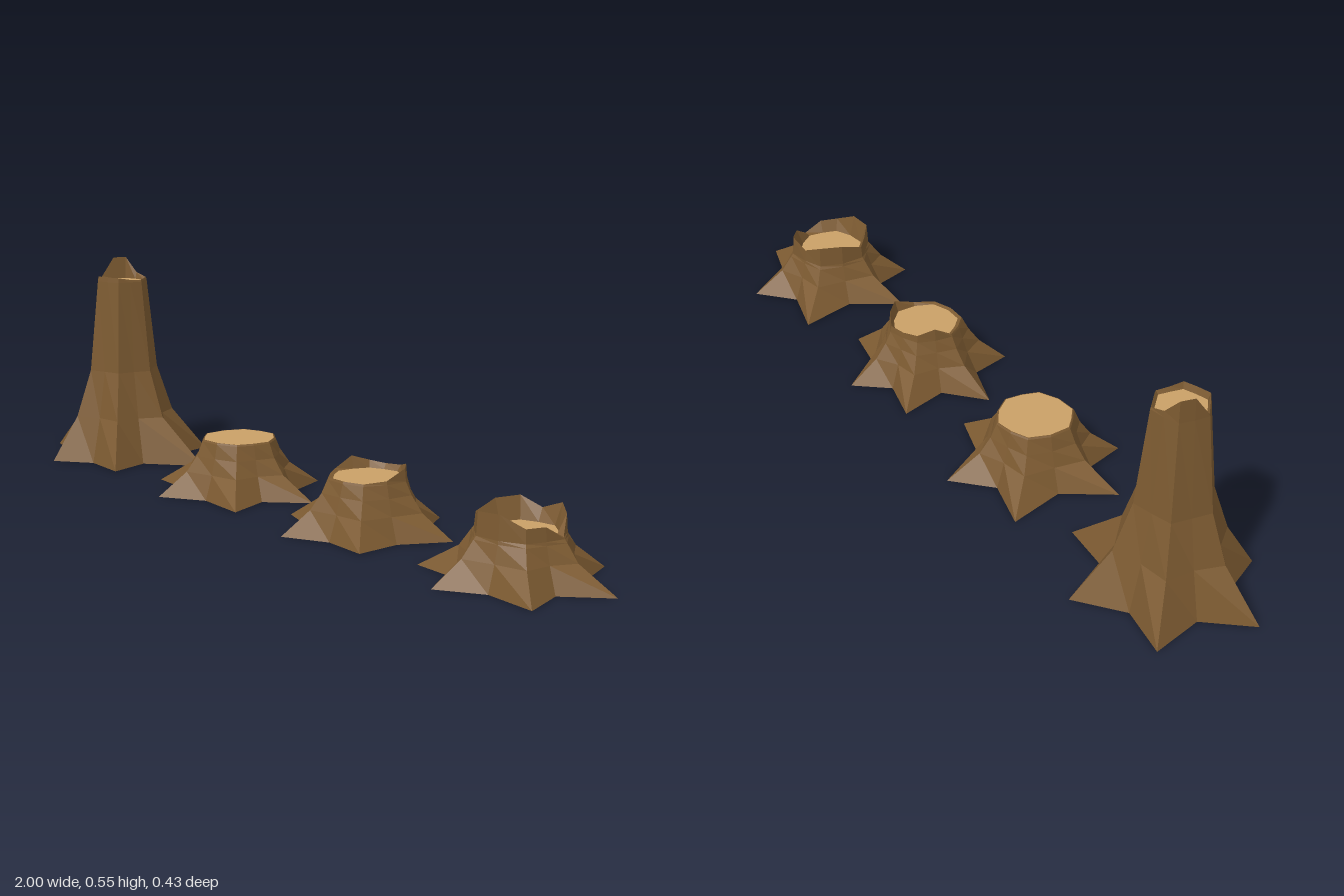
import * as THREE from 'three';

const bark = new THREE.MeshStandardMaterial({ color: 0x7c5a31 });
bark.name = 'bark';
const wood = new THREE.MeshStandardMaterial({ color: 0xc9a067 });
wood.name = 'cutWood';

// Flat-shaded mesh from a list of triangle corners
function facets(name, points, material) {
  const geometry = new THREE.BufferGeometry().setFromPoints(points);
  geometry.computeVertexNormals();
  const mesh = new THREE.Mesh(geometry, material);
  mesh.name = name;
  return mesh;
}

// Fan closing a ring, facing up or down
function fan(ring, centre, up) {
  return ring.flatMap((p, i) => {
    const q = ring[(i + 1) % ring.length];
    return up ? [centre, q, p] : [centre, p, q];
  });
}

// Walls between successive rings
function walls(rings) {
  const out = [];
  for (let k = 0; k + 1 < rings.length; k++) {
    const a = rings[k], b = rings[k + 1];
    a.forEach((p, i) => {
      const j = (i + 1) % a.length;
      out.push(p, b[i], b[j], p, b[j], a[j]);
    });
  }
  return out;
}

// A stump has six root tips; every ring alternates ridge and valley corners
function makeStump({ name, x, tips, levels, rim, inner, cut }) {
  const angles = tips.map(([tx, tz]) => Math.atan2(tz, tx));
  const dirs = [];
  angles.forEach((a, i) => {
    let next = angles[(i + 1) % 6];
    while (next < a) next += Math.PI * 2;
    dirs.push(a, (a + next) / 2);
  });
  const ring = (ridge, valley, height) => dirs.map((a, i) => {
    const r = i % 2 ? valley : ridge;
    const y = typeof height === 'number' ? height : height[i];
    return new THREE.Vector3(Math.cos(a) * r, y, Math.sin(a) * r + 0.005);
  });

  const base = ring(0, 0.14, 0);
  tips.forEach(([tx, tz], i) => base[2 * i].set(tx, 0, tz));
  const rings = [base, ...levels.map(([y, ridge, valley]) => ring(ridge, valley, y))];
  const [, ridge, valley] = levels[levels.length - 1];
  const top = rim.length ? rim : dirs.map(() => rim);
  rings.push(ring(ridge * 0.97, valley * 0.97, top));
  const cutRing = ring(ridge * inner, valley * inner, cut);
  rings.push(cutRing);

  const group = new THREE.Group();
  group.name = name;
  group.position.x = x;
  const underside = fan(base, new THREE.Vector3(), false);
  group.add(facets('barkAndRoots', [...walls(rings), ...underside], bark));
  group.add(facets('cutFace', fan(cutRing, new THREE.Vector3(0, cut, 0.005), true), wood));
  return group;
}

export function createModel() {
  const model = new THREE.Group();
  model.name = 'treeStumps';
  const low = [[0.06, 0.142, 0.115], [0.1, 0.114, 0.102]];

  model.add(makeStump({
    name: 'tallBrokenTrunk', x: -0.775,
    tips: [[0.075, -0.217], [0.262, -0.075], [0.165, 0.145], [-0.045, 0.21], [-0.225, 0.08], [-0.165, -0.155]],
    levels: [[0.12, 0.138, 0.108], [0.245, 0.096, 0.082], [0.49, 0.07, 0.062]],
    rim: [0.495, 0.495, 0.495, 0.497, 0.503, 0.503, 0.503, 0.495, 0.495, 0.545, 0.545, 0.505],
    inner: 0.88, cut: 0.487,
  }));

  model.add(makeStump({
    name: 'flatStump', x: -0.24,
    tips: [[0.05, -0.215], [0.225, -0.055], [0.175, 0.15], [-0.07, 0.21], [-0.22, 0.1], [-0.17, -0.165]],
    levels: [...low, [0.136, 0.099, 0.093]],
    rim: 0.14, inner: 0.95, cut: 0.14,
  }));

  model.add(makeStump({
    name: 'chippedStump', x: 0.265,
    tips: [[0.02, -0.21], [0.2, -0.085], [0.14, 0.15], [-0.085, 0.2], [-0.23, 0.055], [-0.165, -0.155]],
    levels: [...low, [0.131, 0.099, 0.093]],
    rim: [0.148, 0.162, 0.162, 0.14, 0.136, 0.136, 0.136, 0.136, 0.138, 0.164, 0.15, 0.146],
    inner: 0.87, cut: 0.133,
  }));

  model.add(makeStump({
    name: 'hollowStump', x: 0.77,
    tips: [[0.05, -0.21], [0.228, -0.055], [0.175, 0.147], [-0.065, 0.207], [-0.22, 0.105], [-0.17, -0.165]],
    levels: [...low, [0.108, 0.108, 0.1]],
    rim: [0.16, 0.15, 0.112, 0.14, 0.14, 0.165, 0.162, 0.145, 0.14, 0.16, 0.162, 0.14],
    inner: 0.8, cut: 0.11,
  }));

  return model;
}
